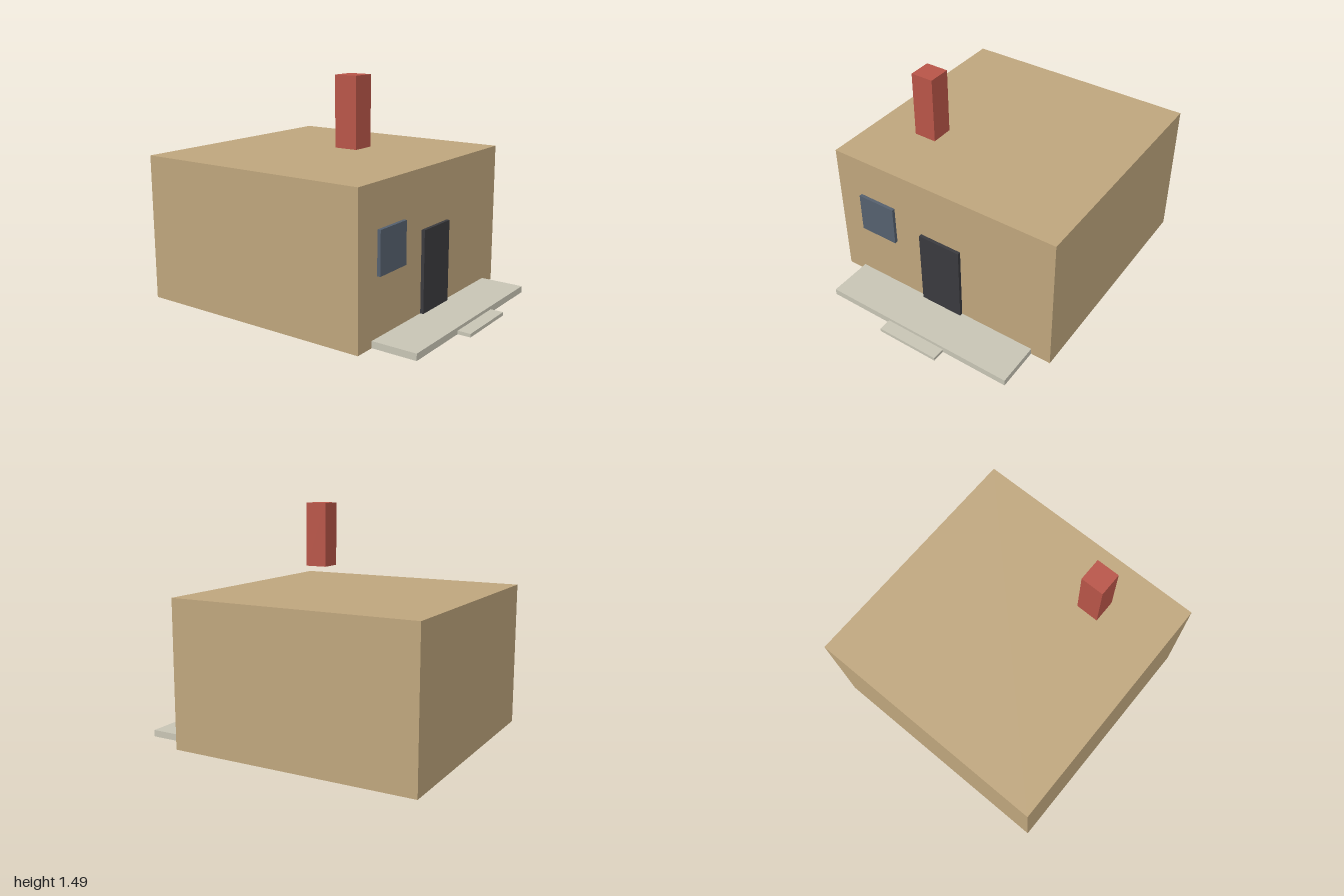
import * as THREE from 'three';

const material = (name, color) => {
  const m = new THREE.MeshStandardMaterial({ color });
  m.name = name;
  return m;
};

export function createModel() {
  const house = new THREE.Group();
  house.name = 'house';

  const tan = material('tanWall', 0xbfa67d);
  const brick = material('brickRed', 0xb85548);
  const stone = material('paleStone', 0xc8c5b5);
  const charcoal = material('charcoal', 0x3a3a3e);
  const slate = material('slateBlue', 0x55606e);

  // Box given by its extents along each axis
  const block = (name, mat, [x0, x1], [y0, y1], [z0, z1]) => {
    const mesh = new THREE.Mesh(new THREE.BoxGeometry(x1 - x0, y1 - y0, z1 - z0), mat);
    mesh.position.set((x0 + x1) / 2, (y0 + y1) / 2, (z0 + z1) / 2);
    mesh.name = name;
    house.add(mesh);
  };

  const wallX = 0.62;
  const porchX = 0.915;

  // Main body
  block('walls', tan, [-1, wallX], [0, 0.95], [-0.81, 0.81]);

  // Porch slab and the low step in front of it
  block('porch', stone, [wallX, porchX], [0, 0.043], [-0.675, 0.675]);
  block('step', stone, [porchX, 1], [0, 0.022], [-0.215, 0.215]);

  // Door and window stand slightly proud of the wall
  block('door', charcoal, [wallX, 0.642], [0.001, 0.572], [-0.15, 0.15]);
  block('window', slate, [wallX, 0.642], [0.41, 0.68], [0.355, 0.625]);

  // Chimney stack, raised clear of the flat roof
  block('chimney', brick, [0.165, 0.315], [1.06, 1.49], [0.25, 0.4]);

  return house;
}
